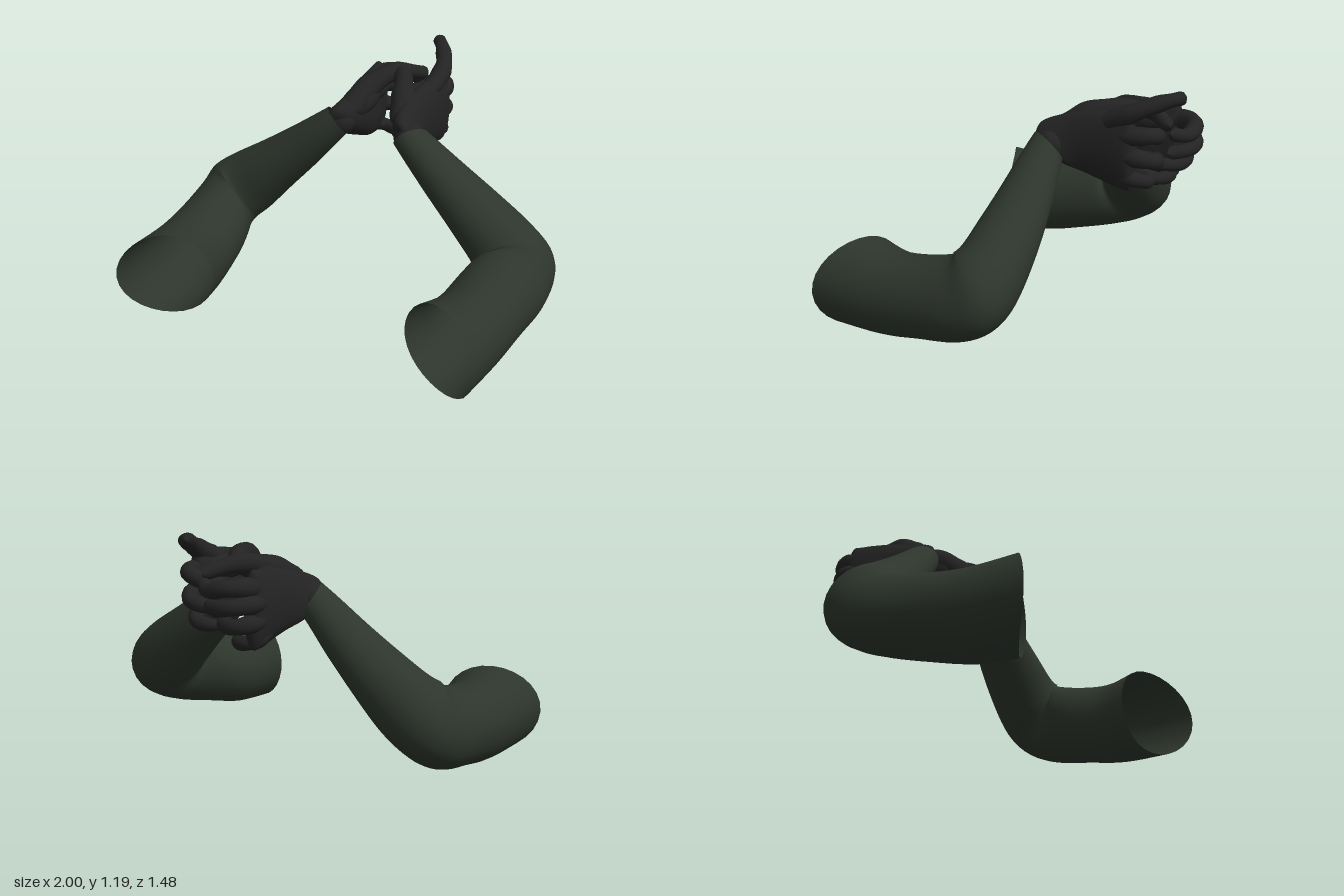
import * as THREE from 'three';

const sleeveCloth = new THREE.MeshStandardMaterial({ color: 0x2d352c, side: THREE.DoubleSide });
sleeveCloth.name = 'sleeve dark green';
const gloveCloth = new THREE.MeshStandardMaterial({ color: 0x232324 });
gloveCloth.name = 'glove charcoal';

const SIDES = 28;

// Interpolates rows of numbers with a smooth curve through each column
function smoothRows(rows, count) {
  const columns = rows[0].map((_, c) =>
    new THREE.SplineCurve(rows.map((row, i) => new THREE.Vector2(i, row[c]))));
  return Array.from({ length: count + 1 }, (_, i) =>
    columns.map((curve) => curve.getPoint(i / count).y));
}

// Skin over closed rings of points; flip reverses the faces for the mirrored side
function loft(rings, flip) {
  const positions = [], index = [];
  for (const ring of rings) for (const p of ring) positions.push(p.x, p.y, p.z);
  for (let i = 0; i < rings.length - 1; i++) {
    for (let j = 0; j < SIDES; j++) {
      const a = i * SIDES + j, b = i * SIDES + (j + 1) % SIDES;
      const c = a + SIDES, d = b + SIDES;
      if (flip) index.push(a, b, c, b, d, c);
      else index.push(a, c, b, b, c, d);
    }
  }
  const geometry = new THREE.BufferGeometry();
  geometry.setAttribute('position', new THREE.Float32BufferAttribute(positions, 3));
  geometry.setIndex(index);
  geometry.computeVertexNormals();
  return geometry;
}

function ringPoints(fn) {
  return Array.from({ length: SIDES }, (_, j) => {
    const t = (j / SIDES) * Math.PI * 2;
    return fn(Math.cos(t), Math.sin(t));
  });
}

function addMesh(parent, name, geometry, material) {
  const mesh = new THREE.Mesh(geometry, material);
  mesh.name = name;
  parent.add(mesh);
  return mesh;
}

// Sleeve rings: centre x, y, z, bend angle, radius across the bend, radius in the bend, outward slant
const SLEEVE = [
  [0.752, 0.252, 0.605, 0, 0.216, 0.218, 0.1],
  [0.778, 0.24, 0.4, 0, 0.206, 0.2, 0.03],
  [0.797, 0.273, 0.2, 0, 0.195, 0.198, 0],
  [0.82, 0.318, 0.03, 20, 0.182, 0.205, 0],
  [0.815, 0.378, -0.06, 48, 0.176, 0.203, 0],
  [0.725, 0.455, -0.09, 80, 0.168, 0.17, 0],
  [0.58, 0.575, -0.1, 90, 0.14, 0.153, 0],
  [0.43, 0.7, -0.105, 88, 0.115, 0.128, 0],
  [0.3, 0.815, -0.108, 75, 0.093, 0.106, 0],
  [0.225, 0.882, -0.112, 62, 0.08, 0.097, 0],
];

function sleeveGeometry(side) {
  const low = side < 0 ? 1 : 0;
  const rows = SLEEVE.map(([x, y, z, ...rest], i) =>
    [x - low * 0.02 * (1 - i / 9), y - 0.028 * low, z - low * 0.075 * (i / 9), ...rest]);
  const rings = smoothRows(rows, 45).map(([x, y, z, angle, ru, rv, slant]) => {
    const f = THREE.MathUtils.degToRad(angle);
    const u = new THREE.Vector3(0.66 * side, 0.75, 0);
    const v = new THREE.Vector3(-0.75 * side * Math.cos(f), 0.66 * Math.cos(f), Math.sin(f));
    return ringPoints((c, s) => {
      const p = new THREE.Vector3(x * side, y, z).addScaledVector(u, c * ru).addScaledVector(v, s * rv);
      const outward = (p.x * side - x) / 0.21;
      p.z += slant * (outward + 0.3 * outward * outward);
      return p;
    });
  });
  return loft(rings, side < 0);
}

// Palm rings: centre x, y, z, half thickness, half height, forward slant
const PALM = [
  [0.215, 0.88, -0.09, 0.045, 0.06, 0.8],
  [0.188, 0.885, -0.14, 0.068, 0.1, 0.8],
  [0.165, 0.895, -0.24, 0.072, 0.14, 0.4],
  [0.17, 0.9, -0.36, 0.068, 0.168, 0.15],
  [0.185, 0.9, -0.46, 0.056, 0.18, 0],
  [0.188, 0.9, -0.52, 0.044, 0.172, 0],
  [0.188, 0.9, -0.545, 0.002, 0.03, 0],
];

function palmGeometry(side) {
  const dx = side < 0 ? 0.015 : 0, dy = side < 0 ? -0.045 : 0, dz = side < 0 ? -0.07 : 0;
  const rings = smoothRows(PALM, 30).map(([x, y, z, hx, hy, slant]) =>
    ringPoints((c, s) => new THREE.Vector3(
      (x + dx + c * hx) * side, y + dy + s * hy, z + dz + slant * s * hy)));
  return loft(rings, side < 0);
}

// Tapered tube with rounded ends
function fingerGeometry(points, startRadius, endRadius) {
  const curve = new THREE.CatmullRomCurve3(points.map((p) => new THREE.Vector3(...p)));
  const steps = 36, around = 14;
  const geometry = new THREE.TubeGeometry(curve, steps, 1, around);
  const length = curve.getLength();
  const pos = geometry.attributes.position, p = new THREE.Vector3();
  for (let i = 0; i <= steps; i++) {
    const t = i / steps, centre = curve.getPointAt(t);
    const toEnd = Math.min(1, ((1 - t) * length) / endRadius);
    const toStart = Math.min(1, (t * length) / startRadius);
    const round = Math.sqrt(1 - (1 - toEnd) ** 2) * Math.sqrt(1 - (1 - toStart) ** 2);
    const knuckle = 1 + 0.06 * Math.cos(t * Math.PI * 6);
    const radius = THREE.MathUtils.lerp(startRadius, endRadius, t) * round * knuckle;
    for (let j = 0; j <= around; j++) {
      const k = i * (around + 1) + j;
      p.fromBufferAttribute(pos, k).sub(centre).multiplyScalar(radius).add(centre);
      pos.setXYZ(k, p.x, p.y, p.z);
    }
  }
  geometry.computeBoundingSphere();
  return geometry;
}

const LEFT_FINGERS = {
  indexFinger: [[0.185, 1.025, -0.38], [0.188, 1.09, -0.52], [0.13, 1.142, -0.64], [0.06, 1.163, -0.73]],
  middleFinger: [[0.185, 0.97, -0.41], [0.192, 0.985, -0.54], [0.15, 0.985, -0.61], [0.07, 0.955, -0.59], [0.02, 0.93, -0.5]],
  ringFinger: [[0.185, 0.88, -0.41], [0.192, 0.88, -0.54], [0.14, 0.86, -0.61], [0.06, 0.84, -0.58], [0.01, 0.82, -0.49]],
  littleFinger: [[0.18, 0.79, -0.4], [0.185, 0.775, -0.52], [0.14, 0.755, -0.57], [0.07, 0.745, -0.55], [0.03, 0.745, -0.48]],
  thumb: [[0.165, 0.93, -0.13], [0.1, 1.03, -0.27], [0.03, 1.055, -0.4], [-0.06, 1.03, -0.55]],
  thumbWeb: [[0.165, 0.93, -0.17], [0.12, 0.99, -0.29], [0.15, 0.99, -0.46]],
};
const RIGHT_FINGERS = {
  indexFinger: [[-0.19, 0.94, -0.48], [-0.197, 0.965, -0.62], [-0.14, 0.965, -0.695], [-0.04, 0.945, -0.695], [0.035, 0.965, -0.64]],
  middleFinger: [[-0.2, 0.88, -0.48], [-0.218, 0.89, -0.62], [-0.16, 0.88, -0.69], [-0.06, 0.865, -0.685], [0.01, 0.86, -0.62]],
  ringFinger: [[-0.2, 0.81, -0.48], [-0.213, 0.8, -0.6], [-0.16, 0.785, -0.645], [-0.07, 0.78, -0.62], [-0.01, 0.79, -0.55]],
  littleFinger: [[-0.195, 0.75, -0.46], [-0.2, 0.715, -0.54], [-0.15, 0.695, -0.57], [-0.09, 0.69, -0.55], [-0.05, 0.69, -0.5]],
  thumb: [[-0.17, 0.91, -0.2], [-0.13, 1.0, -0.34], [-0.06, 1.04, -0.49], [0.045, 1.0, -0.645]],
  thumbWeb: [[-0.17, 0.9, -0.22], [-0.135, 0.965, -0.36], [-0.17, 0.95, -0.52]],
};
const RADII = {
  indexFinger: [0.052, 0.031], middleFinger: [0.049, 0.032], ringFinger: [0.047, 0.031],
  littleFinger: [0.043, 0.028], thumb: [0.072, 0.031], thumbWeb: [0.075, 0.055],
};

function arm(side, name, fingers) {
  const group = new THREE.Group();
  group.name = name;
  addMesh(group, 'sleeve', sleeveGeometry(side), sleeveCloth);

  // Gloved hand
  const hand = new THREE.Group();
  hand.name = 'glovedHand';
  group.add(hand);
  addMesh(hand, 'palm', palmGeometry(side), gloveCloth);
  const wrist = addMesh(hand, 'wrist', new THREE.SphereGeometry(0.076, 24, 16), gloveCloth);
  wrist.position.set(0.21 * side, side > 0 ? 0.885 : 0.857, side > 0 ? -0.12 : -0.195);
  for (const [finger, points] of Object.entries(fingers)) {
    addMesh(hand, finger, fingerGeometry(points, ...RADII[finger]), gloveCloth);
  }
  return group;
}

export function createModel() {
  const model = new THREE.Group();
  model.name = 'glovedArms';
  model.add(arm(1, 'leftArm', LEFT_FINGERS), arm(-1, 'rightArm', RIGHT_FINGERS));
  return model;
}
